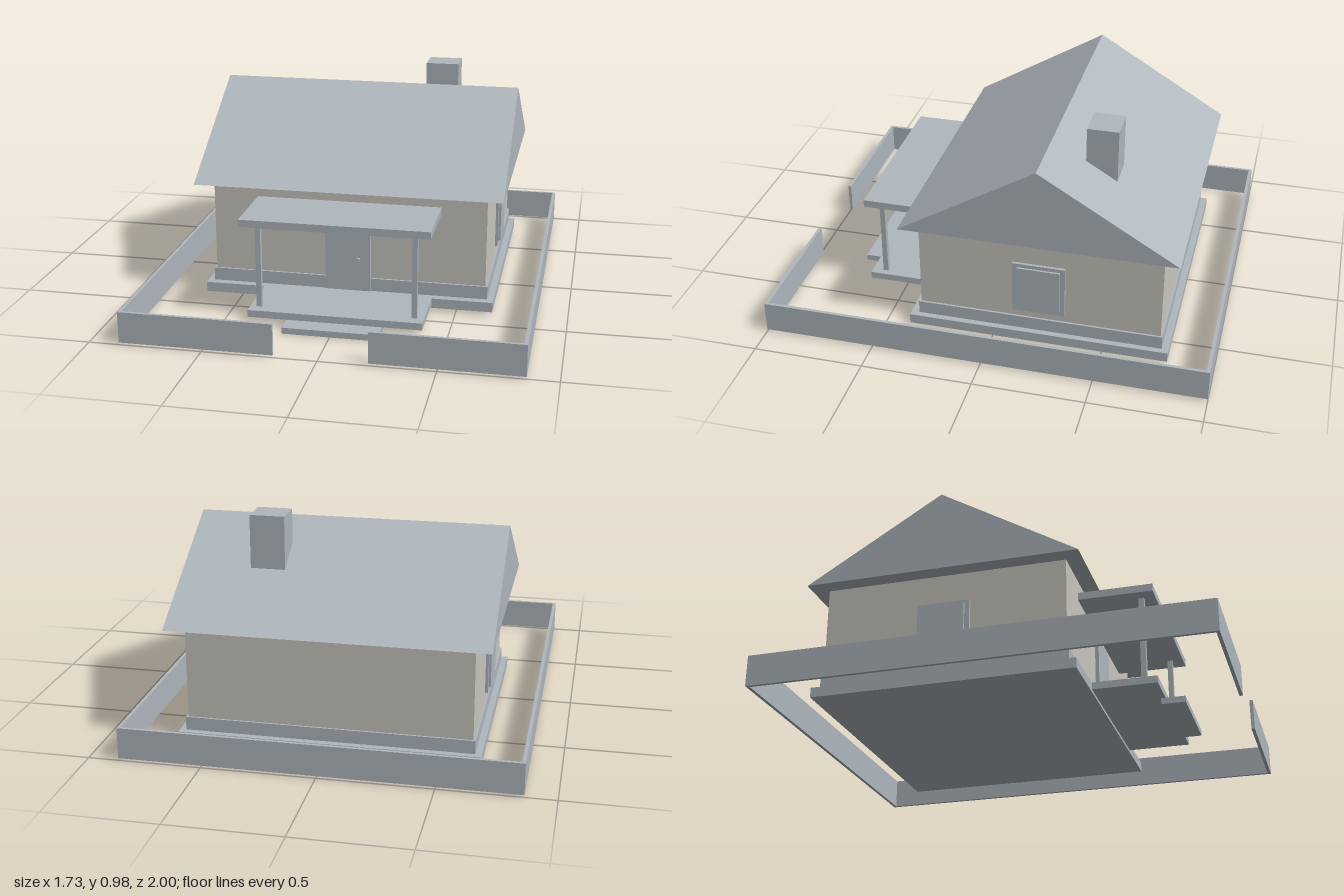
import * as THREE from 'three';

const grey = new THREE.MeshStandardMaterial({ name: 'blue grey', color: 0xb0b8be });
const beige = new THREE.MeshStandardMaterial({ name: 'beige plaster', color: 0xcac7bf });

export function createModel() {
  const house = new THREE.Group();
  house.name = 'house';

  // box given by its min and max along each axis
  function box(name, [x0, x1], [y0, y1], [z0, z1], material = grey) {
    const mesh = new THREE.Mesh(new THREE.BoxGeometry(x1 - x0, y1 - y0, z1 - z0), material);
    mesh.position.set((x0 + x1) / 2, (y0 + y1) / 2, (z0 + z1) / 2);
    mesh.name = name;
    house.add(mesh);
    return mesh;
  }

  // foundation, plinth and walls
  box('foundation', [-0.665, 0.665], [0.015, 0.06], [-0.795, 0.385]);
  box('plinth', [-0.637, 0.637], [0.06, 0.12], [-0.765, 0.348]);
  box('walls', [-0.627, 0.627], [0.12, 0.54], [-0.756, 0.338], beige);

  // gabled roof: triangle in z and y, extruded along x
  const gable = new THREE.Shape([
    new THREE.Vector2(-0.41, 0.54),
    new THREE.Vector2(0.83, 0.54),
    new THREE.Vector2(0.21, 0.91),
  ]);
  const roofGeometry = new THREE.ExtrudeGeometry(gable, { depth: 1.406, bevelEnabled: false });
  roofGeometry.translate(0, 0, -0.703).rotateY(Math.PI / 2);
  const roof = new THREE.Mesh(roofGeometry, grey);
  roof.name = 'roof';
  house.add(roof);

  box('chimney', [0.245, 0.4], [0.6, 0.977], [-0.5, -0.36]);

  // porch
  box('porchFloor', [-0.39, 0.39], [0.028, 0.06], [0.385, 0.67]);
  box('step', [-0.213, 0.213], [0, 0.028], [0.65, 0.757]);
  box('porchCanopy', [-0.422, 0.422], [0.446, 0.48], [0.338, 0.67]);
  for (const x of [-0.35, 0.347]) {
    box('porchPost', [x - 0.012, x + 0.012], [0.06, 0.446], [0.595, 0.619]);
  }

  // door and handle
  box('door', [-0.106, 0.102], [0.06, 0.402], [0.338, 0.355]);
  box('doorHandle', [0.042, 0.056], [0.206, 0.22], [0.355, 0.372]);

  // side windows: frame with a raised pane
  for (const side of [-1, 1]) {
    const span = (a, b) => (side > 0 ? [a, b] : [-b, -a]);
    box('windowFrame', span(0.627, 0.64), [0.157, 0.403], [-0.327, -0.09]);
    box('windowPane', span(0.64, 0.65), [0.177, 0.386], [-0.304, -0.112]);
  }

  // garden fence with an opening at the front
  const h = [0.01, 0.15];
  box('fenceBack', [-0.865, 0.865], h, [-1, -0.985]);
  box('fenceRight', [-0.865, -0.85], h, [-0.985, 0.985]);
  box('fenceLeft', [0.85, 0.865], h, [-0.985, 0.985]);
  box('fenceFrontRight', [-0.865, -0.19], h, [0.985, 1]);
  box('fenceFrontLeft', [0.216, 0.865], h, [0.985, 1]);

  return house;
}
